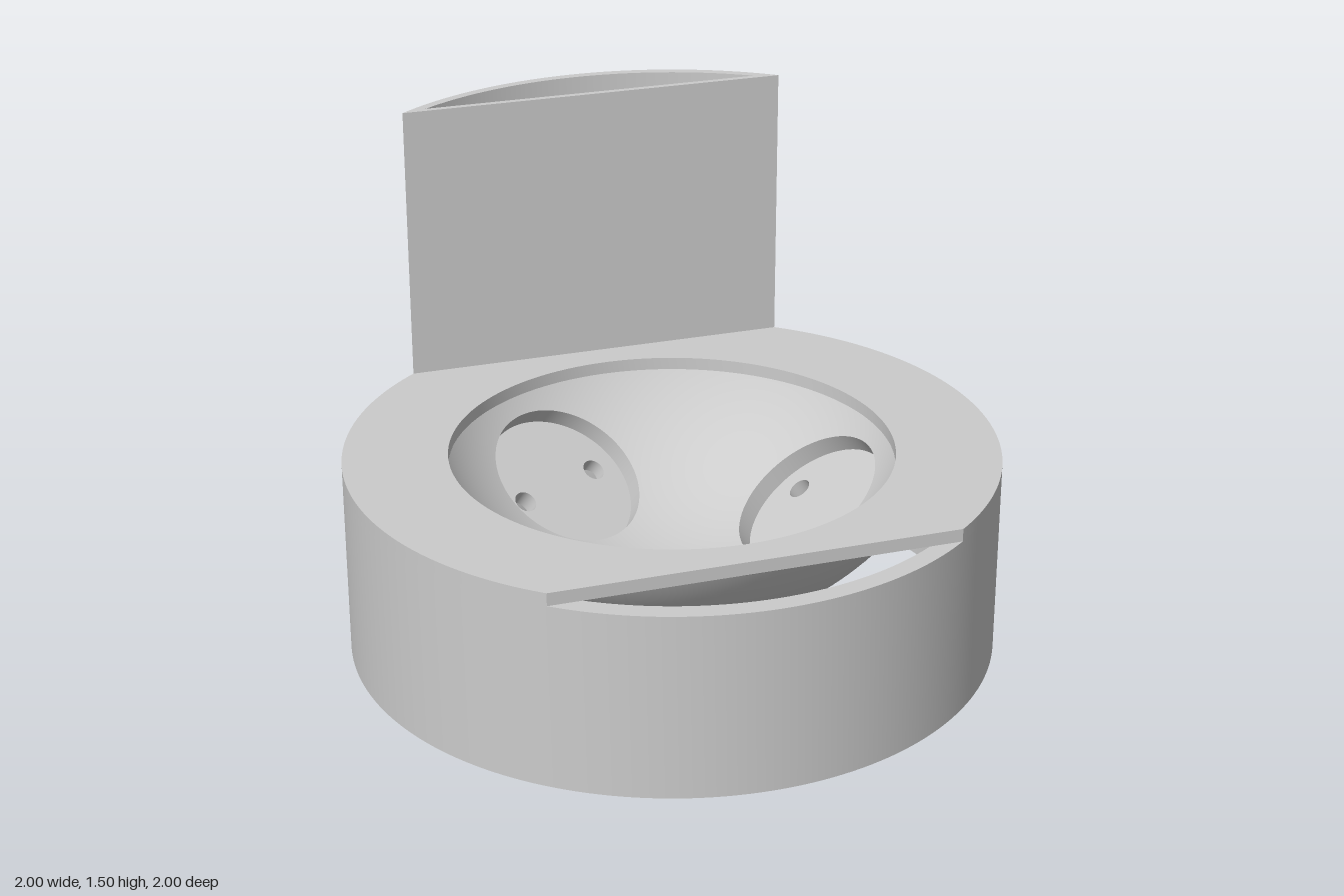
import * as THREE from 'three';
import { toCreasedNormals } from 'three/addons/utils/BufferGeometryUtils.js';

const material = new THREE.MeshStandardMaterial({ color: 0xcccccc, side: THREE.DoubleSide });
const BASE = 0.58, TOP = 0.62, WALL_TOP = 1.5, FLAT = 0.785;
const CY = 1.0;                                  // height of the bowl's sphere centre
const R_IN = 0.799, R_OUT = 0.893;               // bowl sphere radii
const TILT = 0.622, FLOOR = 0.822;               // pocket axis tilt and floor distance
const POCKET_R = 0.25, SCREW_R = 0.036, SCREW_S = 0.156;

function addMesh(parent, name, geometry) {
  const mesh = new THREE.Mesh(geometry, material);
  mesh.name = name;
  parent.add(mesh);
  return mesh;
}

// Flat outline extruded upwards from y0 to y1
function slab(shape, y0, y1) {
  const g = new THREE.ExtrudeGeometry(shape, { depth: y1 - y0, bevelEnabled: false, curveSegments: 96 });
  g.rotateX(-Math.PI / 2).translate(0, y0, 0);
  return toCreasedNormals(g, 0.5);
}

const circle = (r, x = 0, y = 0) => new THREE.Path().absarc(x, y, r, 0, Math.PI * 2, true);

// Circular segment of radius r beyond the chord at distance d
function segment(r, d, Type) {
  const f = Math.asin(d / r);
  const path = new Type().absarc(0, 0, r, f, Math.PI - f, false);
  path.closePath();
  return path;
}

// Pocket frame: u and v across the pocket, w along its axis away from the sphere centre
function local(u, v, w) {
  const s = Math.sin(TILT), c = Math.cos(TILT);
  return new THREE.Vector3(s * w + c * u, CY - c * w + s * u, v);
}

// Closed loops of points joined into a surface
function loft(loops, flip) {
  const n = loops[0].length, index = [];
  for (let k = 0; k < loops.length - 1; k++) {
    for (let j = 0; j < n; j++) {
      const a = k * n + j, b = k * n + (j + 1) % n, c = a + n, d = b + n;
      index.push(...(flip ? [a, c, b, b, c, d] : [a, b, c, b, d, c]));
    }
  }
  const g = new THREE.BufferGeometry().setFromPoints(loops.flat());
  g.setIndex(index);
  g.computeVertexNormals();
  return g;
}

// Loop on a cylinder parallel to the pocket axis; depth(u, v) gives w
function bore(r, offset, count, depth) {
  return Array.from({ length: count }, (_, j) => {
    const a = j / count * Math.PI * 2;
    const u = r * Math.cos(a), v = offset + r * Math.sin(a);
    return local(u, v, depth(u, v));
  });
}

const onSphere = R => (u, v) => Math.sqrt(R * R - u * u - v * v);

// Wedge of the bowl between plan angles a0 and a1, pierced by one round hole
function sphereWedge(R, a0, a1, hole, flip) {
  const edge = Math.sqrt(R * R - (CY - BASE) ** 2);
  const plan = hole.map(p => new THREE.Vector2(p.x, p.z));
  const centre = plan.reduce((s, p) => s.add(p), new THREE.Vector2()).divideScalar(plan.length);
  const sides = [
    new THREE.Vector2(-Math.sin(a0), Math.cos(a0)),
    new THREE.Vector2(Math.sin(a1), -Math.cos(a1)),
  ];
  const dirs = plan.map(p => p.clone().sub(centre).normalize());
  const targets = dirs.map(d => {
    const b = centre.dot(d);
    let t = -b + Math.sqrt(b * b - centre.lengthSq() + edge * edge);
    for (const n of sides) if (d.dot(n) < -1e-9) t = Math.min(t, -centre.dot(n) / d.dot(n));
    return centre.clone().addScaledVector(d, t);
  });
  // Snap the nearest ray to each wedge corner
  const corners = [new THREE.Vector2()];
  for (const a of [a0, a1]) corners.push(new THREE.Vector2(edge * Math.cos(a), edge * Math.sin(a)));
  for (const corner of corners) {
    const d = corner.clone().sub(centre).normalize();
    let best = 0;
    dirs.forEach((q, i) => { if (q.dot(d) > dirs[best].dot(d)) best = i; });
    targets[best] = corner;
  }
  const steps = 12, loops = [];
  for (let k = 0; k <= steps; k++) {
    loops.push(plan.map((p, j) => {
      const q = p.clone().lerp(targets[j], k / steps);
      return new THREE.Vector3(q.x, CY - Math.sqrt(R * R - q.lengthSq()), q.y);
    }));
  }
  const g = loft(loops, flip);
  // True sphere normals keep the seams invisible
  const pos = g.attributes.position, nor = g.attributes.normal, s = flip ? 1 : -1;
  for (let i = 0; i < pos.count; i++) {
    nor.setXYZ(i, s * pos.getX(i) / R, s * (pos.getY(i) - CY) / R, s * pos.getZ(i) / R);
  }
  return g;
}

// One third of the bowl with its pocket and two screw holes
function bowlThird() {
  const third = new THREE.Group();
  const rim = bore(POCKET_R, 0, 120, onSphere(R_IN));
  addMesh(third, 'bowlInside', sphereWedge(R_IN, -Math.PI / 3, Math.PI / 3, rim, false));
  addMesh(third, 'pocketWall', loft([rim, bore(POCKET_R, 0, 120, () => FLOOR)], true));

  const disc = new THREE.Shape().absarc(0, 0, POCKET_R, 0, Math.PI * 2, false);
  for (const s of [-1, 1]) disc.holes.push(circle(SCREW_R, 0, s * SCREW_S));
  const floor = new THREE.ShapeGeometry(disc, 60);
  const pos = floor.attributes.position;
  for (let i = 0; i < pos.count; i++) {
    const p = local(pos.getX(i), -pos.getY(i), FLOOR);
    pos.setXYZ(i, p.x, p.y, p.z);
  }
  floor.computeVertexNormals();
  addMesh(third, 'pocketFloor', floor);

  for (const s of [-1, 1]) {
    const exit = bore(SCREW_R, s * SCREW_S, 80, onSphere(R_OUT));
    const entry = bore(SCREW_R, s * SCREW_S, 80, () => FLOOR);
    addMesh(third, 'screwHole', loft([entry, exit], true));
    const a0 = s > 0 ? 0 : -Math.PI / 3;
    addMesh(third, 'bowlOutside', sphereWedge(R_OUT, a0, a0 + Math.PI / 3, exit, true));
  }
  return third;
}

export function createModel() {
  const model = new THREE.Group();
  model.name = 'bowlHousing';

  // Open base ring
  const ring = new THREE.Shape().absarc(0, 0, 1, 0, Math.PI * 2, false);
  ring.holes.push(circle(0.94));
  addMesh(model, 'baseRing', slab(ring, 0, BASE));

  // Top plate with flat front and back edges
  const f = Math.asin(FLAT);
  const plate = new THREE.Shape().absarc(0, 0, 1, -f, f, false);
  plate.absarc(0, 0, 1, Math.PI - f, Math.PI + f, false);
  plate.closePath();
  plate.holes.push(circle(0.68));
  addMesh(model, 'topPlate', slab(plate, BASE, TOP));

  // Hollow upright back
  const back = segment(1, FLAT, THREE.Shape);
  back.holes.push(segment(0.97, 0.805, THREE.Path));
  addMesh(model, 'backWall', slab(back, BASE, WALL_TOP));

  // Bowl with three pockets
  const bowl = new THREE.Group();
  bowl.name = 'bowl';
  for (let i = 0; i < 3; i++) {
    const third = bowlThird();
    third.name = 'bowlThird';
    third.rotation.y = i * Math.PI * 2 / 3;
    bowl.add(third);
  }
  model.add(bowl);
  return model;
}
